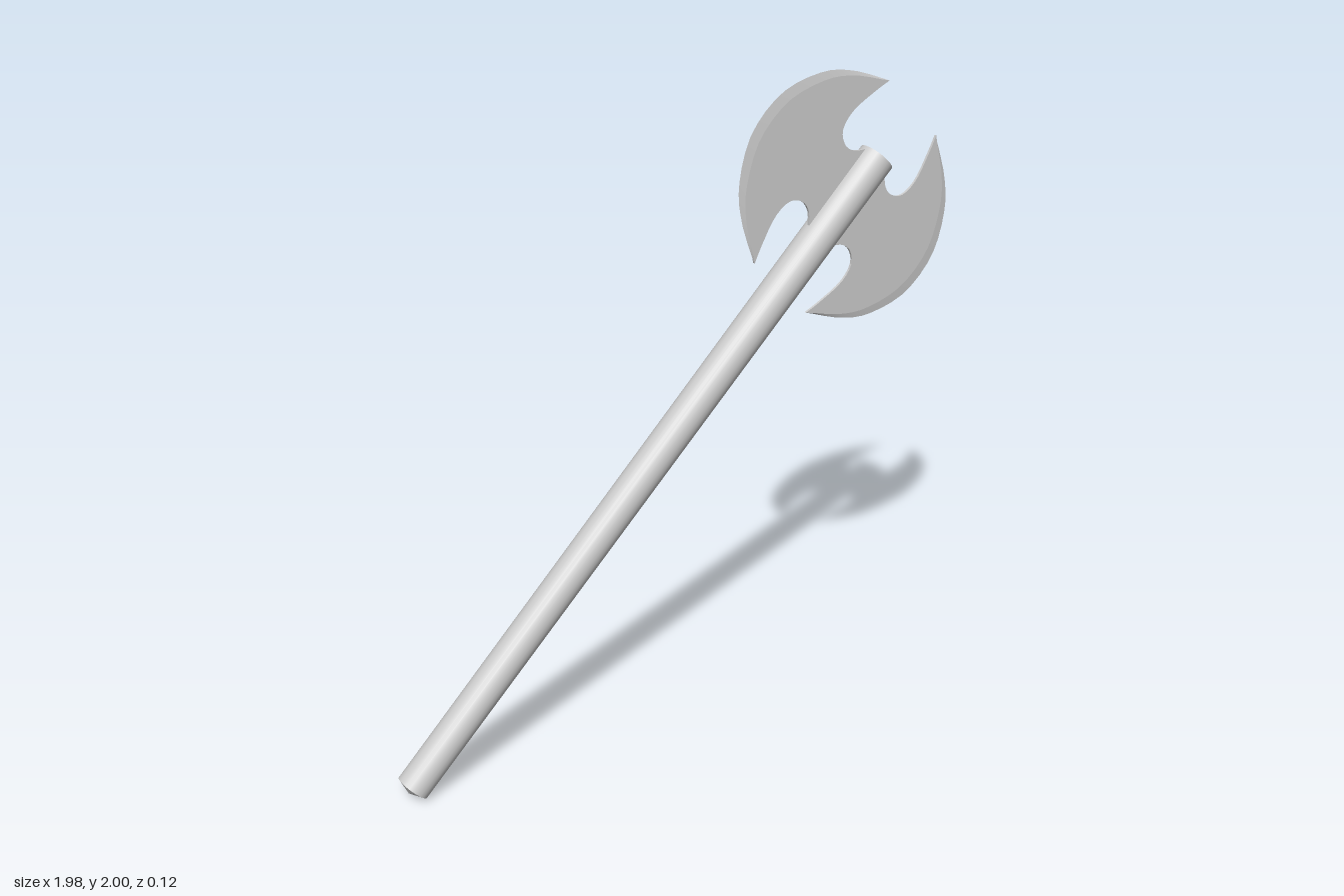
import * as THREE from 'three';

const HALF = 0.004; // half thickness of the blade plate

const mat = new THREE.MeshStandardMaterial({ color: 0xcccccc });
const bevelMat = new THREE.MeshStandardMaterial({ color: 0xcccccc, side: THREE.DoubleSide });

function addMesh(parent, name, geometry, material = mat) {
  const mesh = new THREE.Mesh(geometry, material);
  mesh.name = name;
  parent.add(mesh);
  return mesh;
}

const v2 = (list) => list.map(([x, y]) => new THREE.Vector2(x, y));
const flip = (pts) => pts.map((p) => new THREE.Vector2(p.x, -p.y)).reverse();

// One half of each curve; the other half is its mirror image across the blade's middle
const arcHalf = v2([[0.138, -0.344], [0.265, -0.281], [0.355, -0.205], [0.425, -0.075]]);
const notchHalf = v2([[0.138, 0.344], [0.157, 0.29], [0.18, 0.2], [0.17, 0.135],
  [0.13, 0.108], [0.09, 0.115], [0.057, 0.145]]);

const cuttingArc = new THREE.SplineCurve([...arcHalf, ...flip(arcHalf)]).getPoints(24);
const insetArc = cuttingArc.map((p, i) =>
  p.clone().multiplyScalar(1 - 0.08 * Math.sin((Math.PI * i) / 24)));
const notch = new THREE.SplineCurve(notchHalf).getPoints(20);

// Flat plate: inset arc, upper notch, root inside the shaft, lower notch
function plateGeometry() {
  const outline = [...insetArc, ...notch.slice(1),
    new THREE.Vector2(0, 0.15), new THREE.Vector2(0, -0.15), ...flip(notch).slice(0, -1)];
  const geo = new THREE.ExtrudeGeometry(new THREE.Shape(outline),
    { depth: 2 * HALF, bevelEnabled: false });
  return geo.translate(0, 0, -HALF);
}

// Sharpened rim: slopes from the plate faces down to a thin edge
function bevelGeometry(side) {
  const pos = [], index = [];
  cuttingArc.forEach((p, i) => {
    pos.push(insetArc[i].x, insetArc[i].y, side * HALF, p.x, p.y, 0);
    if (i === 0) return;
    const a = 2 * i - 2, b = a + 1, c = a + 2, d = a + 3;
    if (side > 0) index.push(a, b, d, a, d, c);
    else index.push(a, d, b, a, c, d);
  });
  const geo = new THREE.BufferGeometry();
  geo.setAttribute('position', new THREE.Float32BufferAttribute(pos, 3));
  geo.setIndex(index);
  geo.computeVertexNormals();
  return geo;
}

export function createModel() {
  const model = new THREE.Group();
  model.name = 'doubleAxe';

  // Tilted frame: local y runs along the shaft, origin at the blade centre
  const axe = new THREE.Group();
  axe.name = 'axe';
  axe.position.set(0.586, 1.604, 0);
  axe.rotation.z = THREE.MathUtils.degToRad(-44.57);
  model.add(axe);

  // Slightly tapered shaft with a shallow pointed butt
  const top = 0.156, bottom = -2.196;
  addMesh(axe, 'shaft', new THREE.CylinderGeometry(0.058, 0.052, top - bottom, 24))
    .position.y = (top + bottom) / 2;
  const butt = addMesh(axe, 'buttCap', new THREE.ConeGeometry(0.052, 0.02, 24, 1, true));
  butt.position.y = bottom - 0.01;
  butt.rotation.x = Math.PI;

  // Two matching blades on opposite sides
  for (const [name, turn] of [['rightBlade', Math.PI], ['leftBlade', 0]]) {
    const blade = new THREE.Group();
    blade.name = name;
    blade.rotation.z = turn;
    addMesh(blade, 'bladePlate', plateGeometry());
    addMesh(blade, 'frontEdge', bevelGeometry(1), bevelMat);
    addMesh(blade, 'backEdge', bevelGeometry(-1), bevelMat);
    axe.add(blade);
  }
  return model;
}
